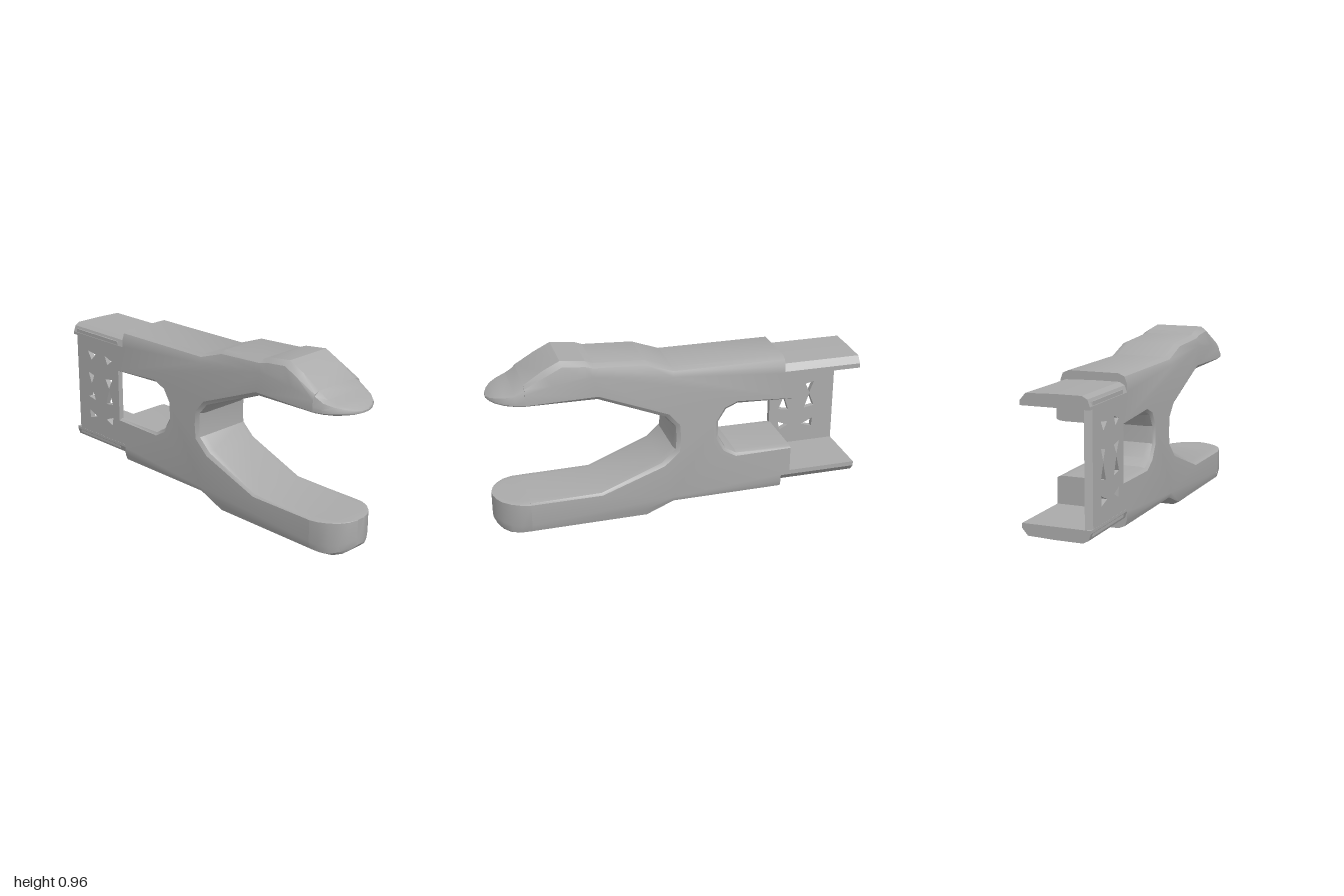
import * as THREE from 'three';
import { toCreasedNormals } from 'three/addons/utils/BufferGeometryUtils.js';

const HALF = 0.18; // half of the body's depth

function build(verts, faces) {
  const g = new THREE.BufferGeometry();
  g.setAttribute('position', new THREE.Float32BufferAttribute(verts.flat(), 3));
  g.setIndex(faces.flat());
  return toCreasedNormals(g, 0.5);
}

// Joins consecutive rings of n points with quads
function bridge(faces, rings, n) {
  for (let k = 0; k < rings - 1; k++) for (let i = 0; i < n; i++) {
    const j = (i + 1) % n;
    const a = k * n + i, b = k * n + j, c = a + n + (j - i), d = a + n;
    faces.push([a, d, c], [a, c, b]);
  }
}

// Flat outline [x, y, bevel] (counter-clockwise) made thick with rounded edges;
// the cut ends are only bevelled vertically
function bevelledSlab(outline) {
  const n = outline.length;
  const inset = outline.map(([x, y, b], i) => {
    const p = outline[(i + n - 1) % n], q = outline[(i + 1) % n];
    const n1 = new THREE.Vector2(p[1] - y, x - p[0]).normalize();
    const n2 = new THREE.Vector2(y - q[1], q[0] - x).normalize();
    const m = n1.add(n2).normalize();
    const cos = Math.max(0.7, m.dot(n2));
    return [x < -0.5 || x > 0.81 ? 0 : m.x * b / cos, m.y * b / cos];
  });
  const bz = 0.045;
  const layers = [[HALF, 1], [HALF - 0.29 * bz, 0.29], [HALF - bz, 0],
    [bz - HALF, 0], [0.29 * bz - HALF, 0.29], [-HALF, 1]];
  const verts = [], faces = [];
  for (const [z, t] of layers) {
    outline.forEach(([x, y], i) => verts.push([x + inset[i][0] * t, y + inset[i][1] * t, z]));
  }
  bridge(faces, layers.length, n);
  const cap = verts.slice(0, n).map(v => new THREE.Vector2(v[0], v[1]));
  const last = (layers.length - 1) * n;
  for (const [a, b, c] of THREE.ShapeUtils.triangulateShape(cap, [])) {
    faces.push([a, b, c], [last + c, last + b, last + a]);
  }
  return build(verts, faces);
}

// Jaw tip lofted along x from stations [x, bottom, top, bottomBevel, topBevel]
function jawTip(stations) {
  const verts = [], faces = [];
  for (const [x, lo, hi, bl, bh] of stations) {
    const w = Math.max(0.025, Math.sqrt(Math.max(0, HALF ** 2 - (x - 0.82) ** 2)));
    const half = [[0.75, lo], [0.93, lo + 0.29 * bl], [1, lo + bl],
      [1, hi - bh], [0.93, hi - 0.29 * bh], [0.75, hi]];
    for (const [s, y] of half) verts.push([x, y, s * w]);
    for (const [s, y] of half.reverse()) verts.push([x, y, -s * w]);
  }
  const n = 12, last = (stations.length - 1) * n;
  bridge(faces, stations.length, n);
  for (let j = 1; j < n - 1; j++) faces.push([last, last + j + 1, last + j]);
  return build(verts, faces);
}

export function createModel() {
  const group = new THREE.Group();
  const grey = new THREE.MeshStandardMaterial({ color: 0xaaaaaa });
  const add = (name, geometry) => {
    const mesh = new THREE.Mesh(geometry, grey);
    mesh.name = name;
    group.add(mesh);
    return mesh;
  };

  // Forked body with an open window on one side and the jaws on the other
  add('forkedBody', bevelledSlab([
    [-0.57, 0.075, 0.05], [0.04, 0.075, 0.04], [0.19, 0.008, 0.055], [0.82, 0.003, 0.06],
    [0.82, 0.19, 0.008], [0.44, 0.198, 0.015], [0.11, 0.335, 0.03], [0.04, 0.4, 0.03],
    [0.035, 0.465, 0.03], [0.04, 0.53, 0.03], [0.09, 0.587, 0.03], [0.45, 0.735, 0.025],
    [0.82, 0.742, 0.012],
    [0.82, 0.85, 0.07], [0.72, 0.915, 0.08], [0.63, 0.96, 0.08], [0.5, 0.945, 0.07],
    [0.46, 0.93, 0.06], [0.19, 0.915, 0.055], [0.04, 0.86, 0.04], [-0.57, 0.86, 0.05],
    [-0.57, 0.77, 0], [-0.62, 0.765, 0], [-0.62, 0.61, 0.01],
    [-0.31, 0.62, 0.02], [-0.25, 0.595, 0.02], [-0.21, 0.53, 0.02], [-0.21, 0.44, 0.02],
    [-0.25, 0.37, 0.02], [-0.31, 0.335, 0.02], [-0.62, 0.33, 0.01],
    [-0.62, 0.17, 0], [-0.57, 0.165, 0],
  ]));

  // Rounded ends of the jaws
  add('upperJawTip', jawTip([
    [0.82, 0.742, 0.85, 0.012, 0.07], [0.87, 0.745, 0.815, 0.012, 0.04],
    [0.92, 0.747, 0.8, 0.012, 0.03], [0.96, 0.75, 0.788, 0.01, 0.02],
    [0.985, 0.752, 0.775, 0.006, 0.01], [1, 0.755, 0.765, 0.002, 0.004],
  ]));
  add('lowerJawTip', jawTip([
    [0.82, 0.003, 0.19, 0.06, 0.008], [0.87, 0, 0.19, 0.06, 0.005],
    [0.92, 0, 0.19, 0.06, 0.003], [0.96, 0.012, 0.19, 0.055, 0.003],
    [0.985, 0.03, 0.19, 0.045, 0.003], [1, 0.05, 0.19, 0.03, 0.003],
  ]));

  // Thin front plate pierced by triangles
  const toPath = (pts, Type) => new Type(pts.map(([x, y]) => new THREE.Vector2(x, y)));
  const plate = toPath([[-1, 0.15], [-0.615, 0.15], [-0.615, 0.79], [-1, 0.79]], THREE.Shape);
  const holes = [
    [[-0.88, 0.68], [-0.81, 0.67], [-0.85, 0.63]],
    [[-0.88, 0.55], [-0.83, 0.54], [-0.855, 0.485]],
    [[-0.855, 0.475], [-0.885, 0.4], [-0.825, 0.39]],
    [[-0.88, 0.32], [-0.81, 0.29], [-0.875, 0.27]],
    [[-0.73, 0.68], [-0.67, 0.66], [-0.71, 0.63]],
    [[-0.73, 0.54], [-0.67, 0.55], [-0.7, 0.49]],
    [[-0.7, 0.48], [-0.73, 0.39], [-0.67, 0.4]],
    [[-0.67, 0.32], [-0.73, 0.295], [-0.68, 0.27]],
  ];
  plate.holes = holes.map(h => toPath(h, THREE.Path));
  const plateGeometry = new THREE.ExtrudeGeometry(plate, { depth: 0.03, bevelEnabled: false });
  const pos = plateGeometry.attributes.position;
  for (let i = 0; i < pos.count; i++) { // chamfer the outer upright edge
    if (pos.getX(i) < -0.99 && pos.getZ(i) > 0.02) pos.setX(i, -0.972);
  }
  plateGeometry.computeVertexNormals();
  add('piercedFrontPlate', plateGeometry).position.z = HALF - 0.03;

  // Thin bevelled strips above and below the open bay, profile as [depth, height from outside]
  const profile = [[-0.18, 0.065], [-0.18, 0.04], [-0.15, 0.005], [0, 0], [0.14, 0],
    [0.168, 0.015], [0.181, 0.05], [0.181, 0.065]];
  for (const [name, y, dir] of [['upperStrip', 0.818, -1], ['lowerStrip', 0.118, 1]]) {
    const shape = toPath(profile.map(([z, h]) => [-z, y + dir * h]), THREE.Shape);
    const g = new THREE.ExtrudeGeometry(shape, { depth: 0.43, bevelEnabled: false });
    g.rotateY(Math.PI / 2).translate(-1, 0, 0);
    add(name, g);
  }
  return group;
}
